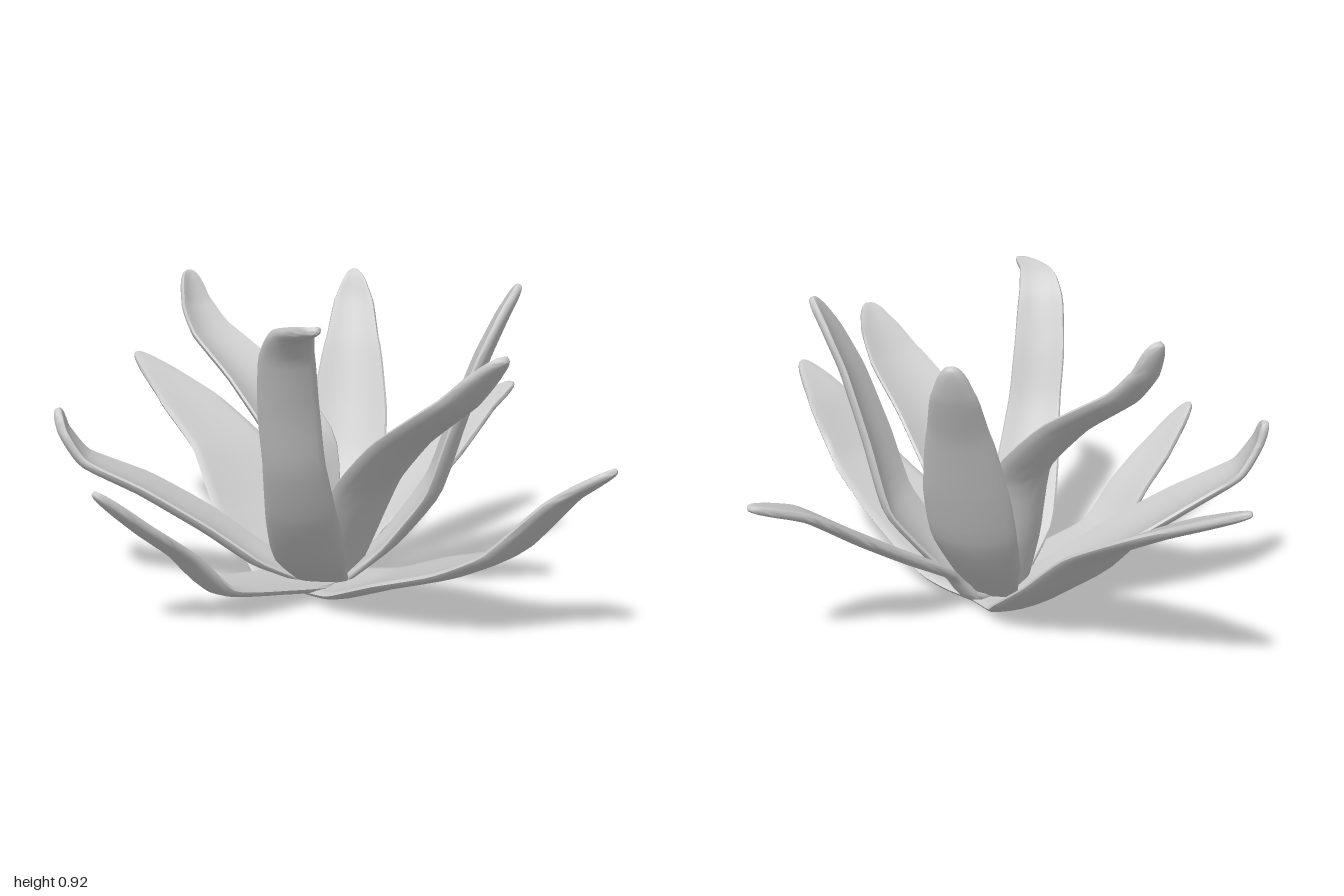
import * as THREE from 'three';
import { toCreasedNormals } from 'three/addons/utils/BufferGeometryUtils.js';

const RINGS = 30, SIDES = 20;
const UP = new THREE.Vector3(0, 1, 0);

// Cupped, thick blade swept along a spine; each point is [x, y, z, halfWidth].
function leafGeometry(points, cup, thick) {
  // low tension keeps the slight kinks between the spine points
  const spine = new THREE.CatmullRomCurve3(points.map(p => new THREE.Vector3(p[0], p[1], p[2])), false, 'catmullrom', 0.28);
  const widths = new THREE.SplineCurve(points.map((p, i) => new THREE.Vector2(i, p[3])));
  const out = spine.getPoint(1).sub(spine.getPoint(0)).setY(0).normalize();
  const side = new THREE.Vector3().crossVectors(UP, out);
  const pos = [], index = [];
  for (let i = 0; i <= RINGS; i++) {
    // rings crowd together near the tip so that it rounds off
    const t = 1 - Math.pow(1 - i / RINGS, 1.4);
    const c = spine.getPoint(t);
    const face = new THREE.Vector3().crossVectors(spine.getTangent(t), side).normalize();
    const round = Math.sqrt(Math.max(0, 1 - Math.pow(Math.max(0, (t - 0.9) / 0.1), 2)));
    const w = Math.max(0.002, widths.getPoint(t).y * round);
    const h = thick * (0.3 + 0.7 * round);
    // the blade is flat at its base and cups further out
    const bend = cup * Math.min(1, 0.2 + t * 4);
    for (let j = 0; j < SIDES; j++) {
      const a = (j / SIDES) * Math.PI * 2;
      const u = Math.cos(a), s = Math.sin(a);
      const v = Math.sign(s) * Math.sqrt(Math.abs(s)) * h + bend * w * (u * u - 0.3);
      const p = c.clone().addScaledVector(side, u * w).addScaledVector(face, v);
      pos.push(p.x, Math.max(0, p.y), p.z);
    }
  }
  for (let i = 0; i < RINGS; i++) {
    for (let j = 0; j < SIDES; j++) {
      const k = (j + 1) % SIDES;
      const a = i * SIDES + j, b = i * SIDES + k;
      index.push(a, b, b + SIDES, a, b + SIDES, a + SIDES);
    }
  }
  // end caps
  const last = RINGS * SIDES;
  for (let j = 1; j < SIDES - 1; j++) {
    index.push(0, j + 1, j, last, last + j, last + j + 1);
  }
  const g = new THREE.BufferGeometry();
  g.setAttribute('position', new THREE.Float32BufferAttribute(pos, 3));
  g.setIndex(index);
  return toCreasedNormals(g, 0.9);
}

export function createModel() {
  const model = new THREE.Group();
  model.name = 'succulentPlant';
  const material = new THREE.MeshStandardMaterial({ color: 0xcccccc, side: THREE.DoubleSide });

  const leaf = (name, points, cup = 0.25, thick = 0.015) => {
    const mesh = new THREE.Mesh(leafGeometry(points, cup, thick), material);
    mesh.name = name;
    model.add(mesh);
  };

  // low, spreading outer leaves, overlapping at the base
  leaf('outerLeafLeft', [[-0.04, 0.018, 0.03, 0.13], [0.08, 0.022, 0.02, 0.15], [0.18, 0.04, 0.02, 0.175],
    [0.36, 0.115, 0.02, 0.18], [0.55, 0.185, 0.01, 0.15], [0.7, 0.27, 0, 0.125], [0.86, 0.44, -0.02, 0.085],
    [1, 0.54, -0.03, 0.035]], 0.1);
  leaf('outerLeafRight', [[0.04, 0.018, 0.03, 0.13], [-0.12, 0.02, 0.03, 0.155], [-0.2, 0.07, 0.005, 0.17],
    [-0.35, 0.18, -0.01, 0.175], [-0.52, 0.33, -0.04, 0.145], [-0.75, 0.46, -0.04, 0.105], [-1, 0.58, -0.03, 0.035]], 0.1);
  leaf('outerLeafFront', [[0, 0.018, 0, 0.06], [0, 0.03, 0.12, 0.11], [0, 0.05, 0.24, 0.105], [0, 0.095, 0.45, 0.085],
    [0, 0.22, 0.575, 0.077], [0, 0.32, 0.7, 0.062], [0, 0.45, 0.85, 0.028]], 0.15);
  leaf('outerLeafBack', [[0, 0.02, 0.04, 0.05], [0, 0.04, -0.11, 0.05], [0, 0.125, -0.18, 0.045], [0, 0.22, -0.34, 0.068],
    [0, 0.32, -0.5, 0.08], [0, 0.44, -0.68, 0.06], [0, 0.505, -0.85, 0.028]], 0.15);

  // diagonal leaves
  leaf('diagonalLeafFrontRight', [[-0.03, 0.022, 0.05, 0.07], [-0.14, 0.095, 0.18, 0.11], [-0.25, 0.195, 0.28, 0.12],
    [-0.37, 0.31, 0.42, 0.105], [-0.46, 0.4, 0.56, 0.07], [-0.49, 0.49, 0.61, 0.042], [-0.505, 0.56, 0.62, 0.026]]);
  leaf('diagonalLeafFrontLeft', [[0.03, 0.022, 0.05, 0.07], [0.11, 0.14, 0.19, 0.105], [0.2, 0.31, 0.305, 0.1],
    [0.26, 0.48, 0.385, 0.085], [0.295, 0.64, 0.435, 0.082], [0.345, 0.8, 0.485, 0.072], [0.4, 0.87, 0.515, 0.055],
    [0.51, 0.9, 0.54, 0.03]]);
  leaf('diagonalLeafBackRight', [[-0.03, 0.022, -0.03, 0.07], [-0.12, 0.15, -0.14, 0.1], [-0.18, 0.3, -0.24, 0.125],
    [-0.23, 0.48, -0.31, 0.12], [-0.28, 0.66, -0.37, 0.09], [-0.33, 0.8, -0.425, 0.06], [-0.355, 0.89, -0.45, 0.028]]);
  leaf('diagonalLeafBackLeft', [[0.03, 0.022, -0.03, 0.07], [0.13, 0.14, -0.13, 0.1], [0.215, 0.3, -0.225, 0.135],
    [0.28, 0.5, -0.25, 0.12], [0.34, 0.7, -0.285, 0.09], [0.38, 0.83, -0.325, 0.06], [0.41, 0.92, -0.36, 0.028]]);

  // upright inner leaves
  leaf('innerLeafLeft', [[0.05, 0.03, 0.02, 0.08], [0.11, 0.18, 0.02, 0.13], [0.2, 0.35, 0.02, 0.14],
    [0.34, 0.5, 0.02, 0.13], [0.53, 0.64, 0.02, 0.1], [0.62, 0.73, 0.02, 0.065], [0.685, 0.79, 0.03, 0.03]]);
  leaf('innerLeafRight', [[-0.04, 0.03, 0.02, 0.08], [-0.07, 0.2, 0.03, 0.12], [-0.105, 0.42, 0.035, 0.135],
    [-0.26, 0.595, 0.07, 0.12], [-0.45, 0.725, 0.09, 0.085], [-0.53, 0.81, 0.085, 0.06], [-0.58, 0.91, 0.07, 0.035]], 0.35);

  return model;
}
